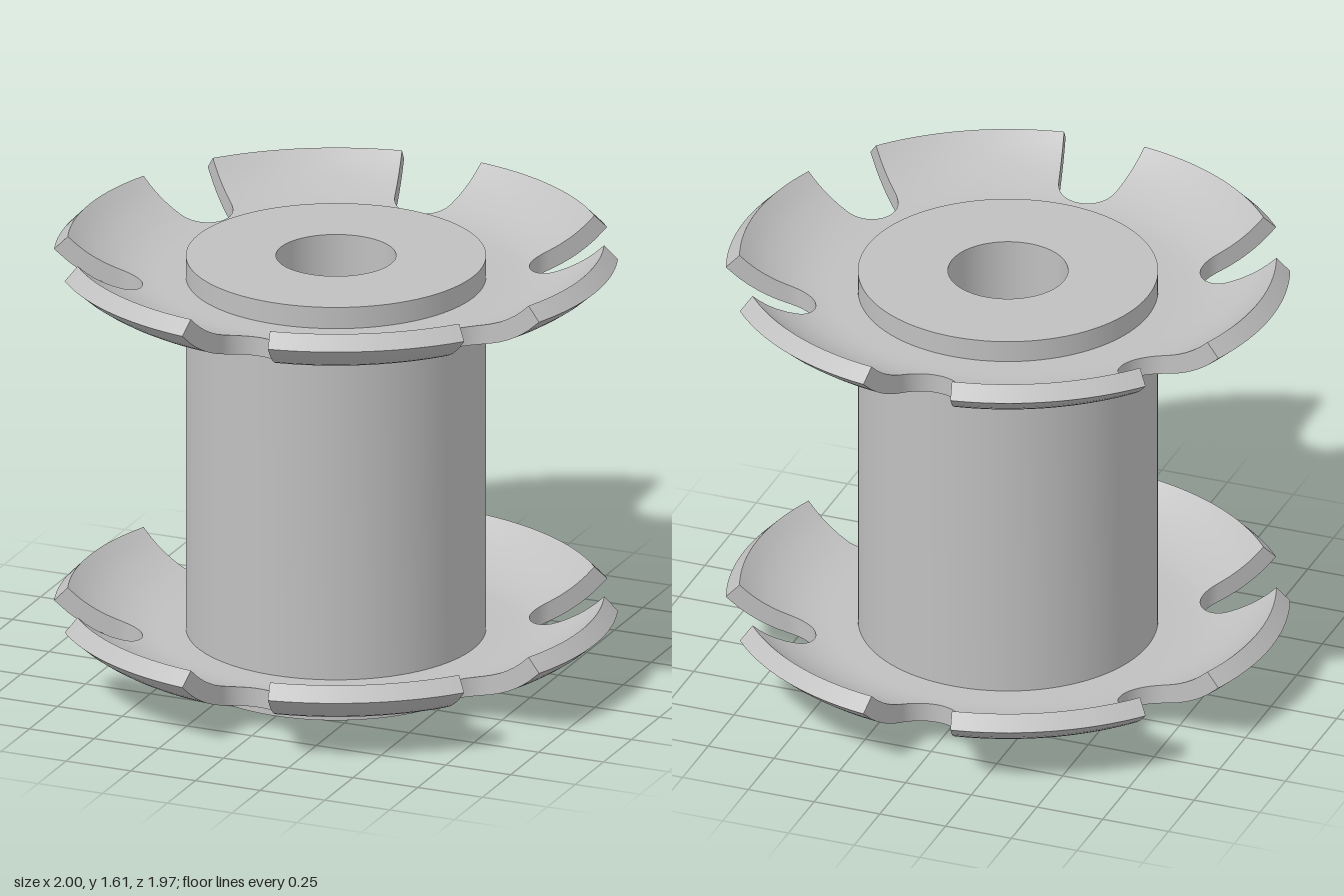
import * as THREE from 'three';
import { toCreasedNormals } from 'three/addons/utils/BufferGeometryUtils.js';

const HUB_R = 0.532, BORE_R = 0.213, HEIGHT = 1.56;
const FLAT_R = 0.626, BEND = 0.53, THICK = 0.07;   // dish cross-section
const RIM_R = FLAT_R + (BEND - THICK) * Math.SQRT1_2; // inner edge of the rim bevel
const SLOT_R = 0.112, SLOT_D = 0.802, SLOT_TILT = Math.PI / 12;

// Heights of the dish's two surfaces at radius r
const bend = (r, R) => (r <= FLAT_R ? 0 : R - Math.sqrt(R * R - (r - FLAT_R) ** 2));
const bottomY = (r) => bend(r, BEND);
const topY = (r) => {
  if (r <= RIM_R) return THICK + bend(r, BEND - THICK);
  const t = (r - RIM_R) / (1 - RIM_R);
  return THREE.MathUtils.lerp(THICK + bend(RIM_R, BEND - THICK), bottomY(1), t);
};

// Rows of one petal: radius and half angle, following the round-ended slot
function petalRows() {
  const rows = [HUB_R - 0.01, 0.58, FLAT_R, 0.66].map((r) => ({ r, half: Math.PI / 6 }));
  const add = (x, z) => rows.push({ r: Math.hypot(x, z), half: Math.PI / 6 - Math.atan2(x, z) });
  const end = Math.PI / 2 - SLOT_TILT;
  for (let i = 0; i <= 12; i++) {
    const a = (end * i) / 12;
    add(SLOT_R * Math.sin(a), SLOT_D - SLOT_R * Math.cos(a));
  }
  // straight flared sides, sampled at chosen radii
  const x0 = SLOT_R * Math.sin(end), z0 = SLOT_D - SLOT_R * Math.cos(end);
  const sx = Math.sin(SLOT_TILT), sz = Math.cos(SLOT_TILT);
  const dot = x0 * sx + z0 * sz, rr = x0 * x0 + z0 * z0;
  for (const r of [0.82, 0.86, 0.89, 0.92, RIM_R, 1]) {
    const t = -dot + Math.sqrt(dot * dot - rr + r * r);
    rows.push({ r, half: Math.PI / 6 - Math.atan2(x0 + t * sx, z0 + t * sz) });
  }
  return rows;
}

function dishGeometry() {
  const rows = petalRows(), pos = [], N = 20;
  const quad = (a, b, c, d) => pos.push(...a, ...b, ...c, ...a, ...c, ...d);
  for (let p = 0; p < 6; p++) {
    const at = (row, j, height) => {
      const phi = (p * Math.PI) / 3 + row.half * ((2 * j) / N - 1);
      return [row.r * Math.cos(phi), height(row.r), row.r * Math.sin(phi)];
    };
    for (let i = 0; i < rows.length - 1; i++) {
      const A = rows[i], B = rows[i + 1];
      for (let j = 0; j < N; j++) {
        quad(at(A, j, topY), at(A, j + 1, topY), at(B, j + 1, topY), at(B, j, topY));
        quad(at(A, j, bottomY), at(B, j, bottomY), at(B, j + 1, bottomY), at(A, j + 1, bottomY));
      }
      // slot walls
      if (i >= 4) {
        quad(at(A, N, bottomY), at(B, N, bottomY), at(B, N, topY), at(A, N, topY));
        quad(at(A, 0, bottomY), at(A, 0, topY), at(B, 0, topY), at(B, 0, bottomY));
      }
    }
  }
  const g = new THREE.BufferGeometry();
  g.setAttribute('position', new THREE.Float32BufferAttribute(pos, 3));
  return toCreasedNormals(g, 0.5);
}

export function createModel() {
  const group = new THREE.Group();
  group.name = 'slottedSpool';
  const grey = new THREE.MeshStandardMaterial({ color: 0xc0c0c0 });
  grey.name = 'plain grey';

  // Hollow core
  const profile = [[BORE_R, 0], [HUB_R, 0], [HUB_R, HEIGHT], [BORE_R, HEIGHT], [BORE_R, 0]]
    .map(([x, y]) => new THREE.Vector2(x, y));
  const core = new THREE.Mesh(toCreasedNormals(new THREE.LatheGeometry(profile, 96), 0.5), grey);
  core.name = 'core';
  group.add(core);

  // Two identical six-petal dishes
  const dish = dishGeometry();
  for (const [name, y] of [['lowerDish', 0.083], ['upperDish', 1.41]]) {
    const mesh = new THREE.Mesh(dish, grey);
    mesh.name = name;
    mesh.position.y = y;
    group.add(mesh);
  }
  return group;
}
